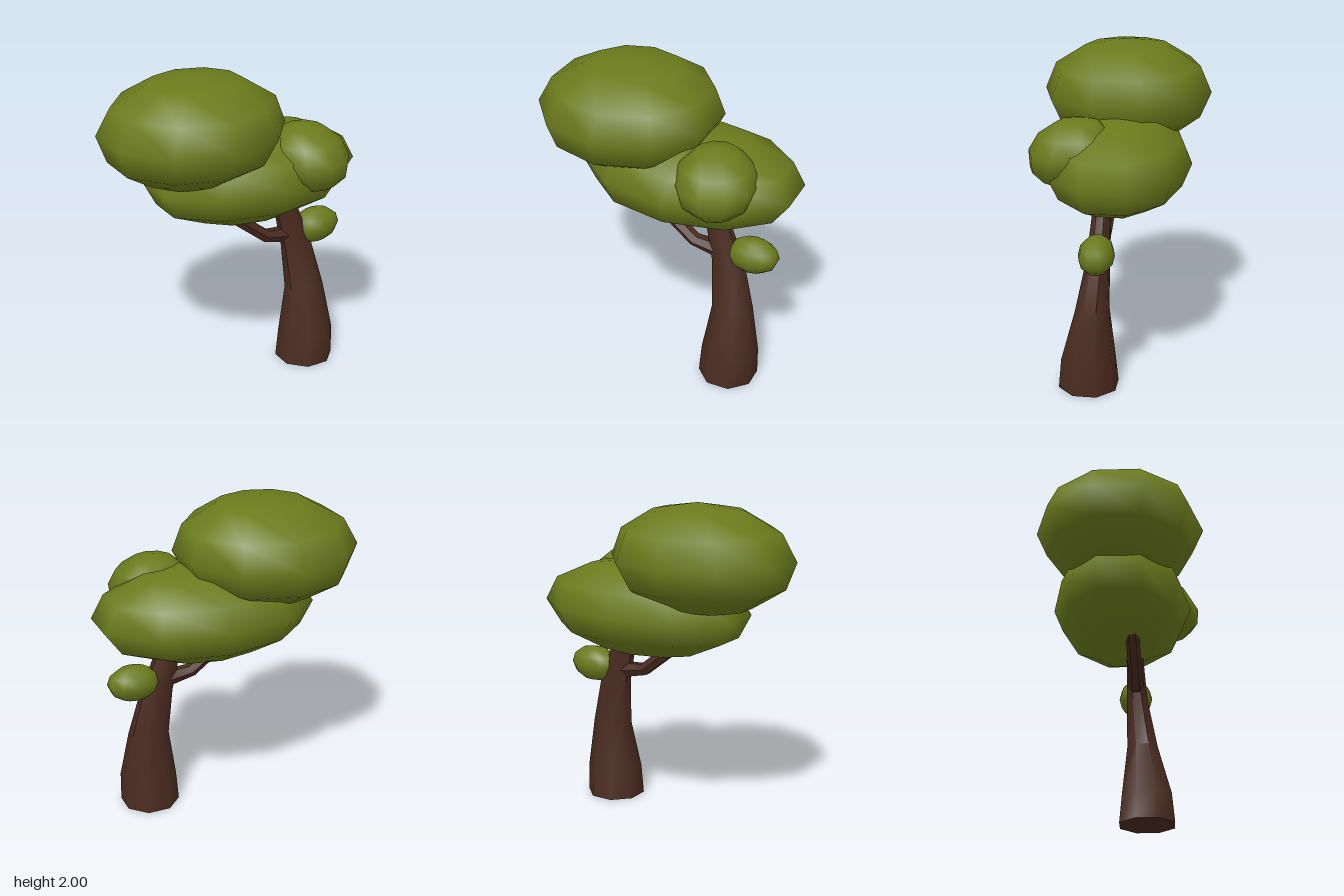
import * as THREE from 'three';
import { toCreasedNormals } from 'three/addons/utils/BufferGeometryUtils.js';

const leafMat = new THREE.MeshStandardMaterial({ color: 0x6b7a1c });
const barkMat = new THREE.MeshStandardMaterial({ color: 0x4a2b20 });

// Low-poly ellipsoid of leaves, leaning by a shear along x and z
function foliage(name, centre, radii, leanX = 0, leanZ = 0) {
  const geo = new THREE.SphereGeometry(1, 10, 6);
  geo.rotateY(Math.PI / 2);
  geo.scale(radii[0] / Math.cos(Math.PI / 10), radii[1], radii[2]);
  const shear = new THREE.Matrix4().set(
    1, leanX, 0, 0,
    0, 1, 0, 0,
    0, leanZ, 1, 0,
    0, 0, 0, 1);
  geo.applyMatrix4(shear);
  const mesh = new THREE.Mesh(geo, leafMat);
  mesh.name = name;
  mesh.position.set(...centre);
  return mesh;
}

// Skin rings of vertices, each ring [x, y, z, rA, rB], capped at both ends.
// axisA and axisB give the plane in which the rings lie.
function limb(name, rings, sides, axisA, axisB) {
  const pos = [], idx = [];
  for (const [x, y, z, ra, rb] of rings) {
    for (let i = 0; i < sides; i++) {
      const t = ((i + 0.5) / sides) * Math.PI * 2;
      const p = new THREE.Vector3(x, y, z)
        .addScaledVector(axisA, Math.cos(t) * ra)
        .addScaledVector(axisB, Math.sin(t) * rb);
      pos.push(p.x, p.y, p.z);
    }
  }
  const last = (rings.length - 1) * sides;
  for (let r = 0; r < last; r += sides) {
    for (let i = 0; i < sides; i++) {
      const j = (i + 1) % sides;
      idx.push(r + i, r + sides + i, r + j, r + j, r + sides + i, r + sides + j);
    }
  }
  for (let i = 1; i < sides - 1; i++) {
    idx.push(0, i, i + 1, last, last + i + 1, last + i);
  }
  const geo = new THREE.BufferGeometry();
  geo.setAttribute('position', new THREE.Float32BufferAttribute(pos, 3));
  geo.setIndex(idx);
  const mesh = new THREE.Mesh(toCreasedNormals(geo, 0.9), barkMat);
  mesh.name = name;
  return mesh;
}

export function createModel() {
  const tree = new THREE.Group();
  tree.name = 'tree';

  // Trunk curving up and to one side
  const X = new THREE.Vector3(1, 0, 0);
  const Z = new THREE.Vector3(0, 0, 1);
  tree.add(limb('trunk', [
    [0.473, 0, 0.14, 0.187, 0.187],
    [0.48, 0.19, 0.14, 0.18, 0.168],
    [0.478, 0.5, 0.115, 0.13, 0.105],
    [0.428, 0.8, 0.085, 0.104, 0.072],
    [0.36, 1.03, 0.075, 0.082, 0.06],
    [0.31, 1.2, 0.07, 0.075, 0.055],
  ], 8, X, Z));

  // Bent side branch reaching up into the canopy
  const slant = new THREE.Vector3(0.5, 0.87, 0);
  tree.add(limb('branch', [
    [0.42, 0.87, 0.08, 0.065, 0.055],
    [0.2, 0.9, 0.08, 0.043, 0.045],
    [0.0, 1.055, 0.07, 0.043, 0.042],
    [-0.14, 1.16, 0.06, 0.04, 0.04],
  ], 6, slant, Z));

  // Leaf masses
  tree.add(foliage('upperCanopy', [-0.265, 1.67, 0], [0.545, 0.33, 0.52], 0.1));
  tree.add(foliage('lowerCanopy', [0.14, 1.33, 0], [0.67, 0.295, 0.44], 0.1));
  tree.add(foliage('frontLeafClump', [0.4, 1.455, 0.245], [0.237, 0.2, 0.25], -0.08, -0.25));
  tree.add(foliage('smallLeafClump', [0.58, 0.89, 0.07], [0.16, 0.115, 0.108], 0.05));

  return tree;
}
